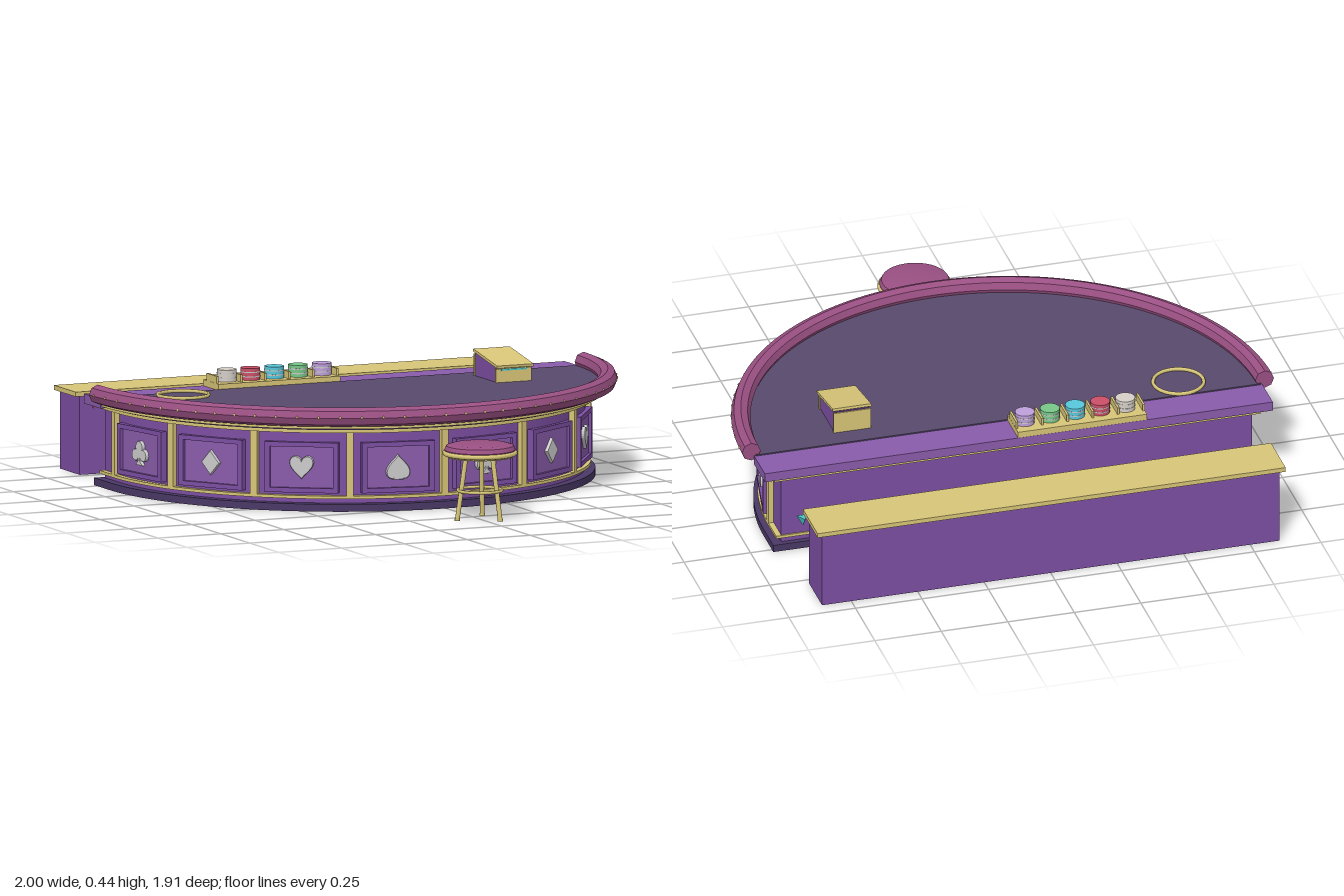
import * as THREE from 'three';
import { toCreasedNormals } from 'three/addons/utils/BufferGeometryUtils.js';

const CZ = -0.39; // centre of the table's arc
const mat = (color) => new THREE.MeshStandardMaterial({ color });
const purple = mat(0x7d4fa3), violet = mat(0x8a5cab), dark = mat(0x4a3866), felt = mat(0x584a6c),
  gold = mat(0xd8c678), plum = mat(0x9a5083), silver = mat(0xd2d2d2), teal = mat(0x4cc4c8), pink = mat(0xc8507c);

export function createModel() {
  const root = new THREE.Group();
  const add = (name, geo, material, x = 0, y = 0, z = 0, parent = root) => {
    const m = new THREE.Mesh(geo, material);
    m.name = name;
    m.position.set(x, y, z);
    parent.add(m);
    return m;
  };
  const box = (w, h, d) => new THREE.BoxGeometry(w, h, d);
  const group = (name, parent = root) => {
    const g = new THREE.Group();
    g.name = name;
    parent.add(g);
    return g;
  };

  // Half-round slab with a straight back edge
  const slab = (name, r, back, y0, y1, material) => {
    const s = new THREE.Shape();
    s.moveTo(-r, -back);
    s.lineTo(-r, -CZ);
    s.absarc(0, -CZ, r, Math.PI, Math.PI * 2, false);
    s.lineTo(r, -back);
    s.closePath();
    const g = new THREE.ExtrudeGeometry(s, { depth: y1 - y0, bevelEnabled: false, curveSegments: 64 });
    g.rotateX(-Math.PI / 2);
    return add(name, toCreasedNormals(g, 0.5), material, 0, y0, 0);
  };
  slab('plinth', 0.92, -0.52, 0.001, 0.028, dark);
  slab('body', 0.885, -0.5, 0.028, 0.29, purple);
  slab('lowerTrim', 0.905, -0.505, 0.045, 0.056, gold);
  slab('upperTrim', 0.915, -0.517, 0.287, 0.3, gold);
  slab('tableUnderside', 0.925, -0.45, 0.3, 0.308, dark);
  slab('rimTrim', 0.95, -0.395, 0.307, 0.319, gold);
  slab('tableEdge', 0.955, -0.395, 0.319, 0.332, dark);
  slab('feltTop', 0.95, -0.395, 0.332, 0.34, felt);
  add('floorDisc', new THREE.CylinderGeometry(0.05, 0.05, 0.01, 20), teal, 0, 0.005, CZ);

  // Padded arm rail with studs
  const rail = new THREE.TorusGeometry(0.965, 0.035, 8, 72, Math.PI).rotateX(Math.PI / 2);
  add('armRail', toCreasedNormals(rail, 0.5), plum, 0, 0.353, CZ);
  for (const s of [-1, 1]) {
    add('railEnd', new THREE.CircleGeometry(0.035, 8).rotateY(Math.PI), plum, s * 0.965, 0.353, CZ);
  }
  const studs = group('railStuds');
  for (let i = 0; i < 40; i++) {
    const a = ((i + 0.5) / 40) * Math.PI;
    add('stud', new THREE.SphereGeometry(0.005, 6, 4), gold, Math.cos(a) * 0.998, 0.355, CZ + Math.sin(a) * 0.998, studs);
  }

  // Card suit outlines, about 0.08 tall around the origin
  const disc = (x, y, r) => new THREE.Shape().absarc(x, y, r, 0, Math.PI * 2, false);
  const stem = () => new THREE.Shape([[-0.02, -0.045], [0.02, -0.045], [0.005, -0.03], [0.004, 0], [-0.004, 0], [-0.005, -0.03]]
    .map(([x, y]) => new THREE.Vector2(x, y)));
  const heart = (f) => {
    const s = new THREE.Shape();
    s.moveTo(0, -0.04 * f);
    s.bezierCurveTo(0.015, -0.02 * f, 0.042, -0.005 * f, 0.042, 0.018 * f);
    s.bezierCurveTo(0.042, 0.046 * f, 0.006, 0.046 * f, 0, 0.02 * f);
    s.bezierCurveTo(-0.006, 0.046 * f, -0.042, 0.046 * f, -0.042, 0.018 * f);
    s.bezierCurveTo(-0.042, -0.005 * f, -0.015, -0.02 * f, 0, -0.04 * f);
    return s;
  };
  const suits = [
    ['spade', [heart(-1.05), stem()]],
    ['heart', [heart(1)]],
    ['diamond', [new THREE.Shape([[0, -0.043], [0.036, 0], [0, 0.043], [-0.036, 0]].map(([x, y]) => new THREE.Vector2(x, y)))]],
    ['club', [disc(0, 0.021, 0.02), disc(-0.023, -0.009, 0.02), disc(0.023, -0.009, 0.02), disc(0, 0.002, 0.012), stem()]],
  ];

  // Eight framed panels around the front, with gold posts between
  const frame = new THREE.Shape([[-0.135, -0.092], [0.135, -0.092], [0.135, 0.092], [-0.135, 0.092]].map(([x, y]) => new THREE.Vector2(x, y)));
  frame.holes.push(new THREE.Path([[-0.115, -0.075], [-0.115, 0.075], [0.115, 0.075], [0.115, -0.075]].map(([x, y]) => new THREE.Vector2(x, y))));
  const frameGeo = new THREE.ExtrudeGeometry(frame, { depth: 0.03, bevelEnabled: false });
  for (let i = 0; i < 8; i++) {
    const panel = group('frontPanel');
    panel.position.set(0, 0.158, CZ);
    panel.rotation.y = ((78.75 - 22.5 * i) * Math.PI) / 180;
    add('panelFrame', frameGeo, purple, 0, 0, 0.87, panel);
    add('panelField', box(0.24, 0.16, 0.02), violet, 0, 0, 0.878, panel);
    const [name, shapes] = suits[i % 4];
    add(name, new THREE.ExtrudeGeometry(shapes, {
      depth: 0.01, bevelThickness: 0.004, bevelSize: 0.002, bevelSegments: 1, curveSegments: 8,
    }), silver, 0, 0, 0.886, panel);
  }
  for (let i = 0; i <= 8; i++) {
    const a = ((i - 4) * Math.PI) / 8;
    const post = add('post', box(0.026, 0.24, 0.03), gold, Math.sin(a) * 0.89, 0.17, CZ + Math.cos(a) * 0.89);
    post.rotation.y = a;
  }

  // Dealer ledge and chip tray
  add('dealerLedge', box(1.91, 0.035, 0.14), violet, 0, 0.318, -0.46);
  const tray = group('chipTray');
  add('trayBase', box(0.485, 0.025, 0.135), gold, -0.24, 0.346, -0.462, tray);
  for (let i = 0; i <= 5; i++) add('divider', box(0.008, 0.028, 0.087), gold, -0.478 + i * 0.0952, 0.371, -0.458, tray);
  [0xd8d0c8, 0xcc5068, 0x58c8dc, 0x78c888, 0xc0a0dc].forEach((c, i) => {
    const x = -0.42 + i * 0.0945;
    add('chipStack', new THREE.CylinderGeometry(0.036, 0.036, 0.046, 14), mat(c), x, 0.379, -0.462, tray);
    for (const y of [0.372, 0.388]) {
      add('chipBand', new THREE.CylinderGeometry(0.037, 0.037, 0.004, 14), silver, x, y, -0.462, tray);
    }
  });

  // Ring marker and card shoe on the felt
  add('feltRing', new THREE.TorusGeometry(0.092, 0.007, 6, 36).rotateX(Math.PI / 2), gold, -0.665, 0.345, -0.305);
  const shoe = group('cardShoe');
  const side = new THREE.Shape([[0.13, 0.34], [0.315, 0.34], [0.315, 0.425], [0.13, 0.394]].map(([x, y]) => new THREE.Vector2(x, y)));
  const shoeGeo = new THREE.ExtrudeGeometry(side, { depth: 0.13, bevelEnabled: false }).rotateY(Math.PI / 2);
  add('shoeBody', shoeGeo, purple, 0.5, 0, 0, shoe);
  const lid = add('shoeLid', box(0.145, 0.01, 0.21), gold, 0.565, 0.416, -0.212, shoe);
  lid.rotation.x = 0.168;
  add('shoeFront', box(0.14, 0.05, 0.012), gold, 0.565, 0.365, -0.128, shoe);
  add('shoeBack', box(0.14, 0.08, 0.008), gold, 0.565, 0.381, -0.315, shoe);
  add('shoeSlot', box(0.1, 0.006, 0.016), teal, 0.565, 0.386, -0.126, shoe);

  // Back counter with a row of small pennants
  add('counterBody', box(1.72, 0.29, 0.17), purple, 0, 0.145, -0.86);
  add('counterTop', box(1.76, 0.017, 0.19), gold, 0, 0.296, -0.861);
  const pennants = group('pennants');
  for (let i = 0; i < 18; i++) {
    const cone = new THREE.ConeGeometry(0.025, 0.036, 3).rotateX(Math.PI).toNonIndexed();
    cone.computeVertexNormals();
    add('pennant', cone, i % 2 ? teal : pink, -0.81 + i * 0.0994, 0.257, -0.768, pennants);
  }

  // Stool: cushion, ring, foot rest and three splayed legs
  const stool = group('stool');
  stool.position.z = 0.815;
  const cushion = [[0, 0.235], [0.125, 0.235], [0.129, 0.255], [0.122, 0.27], [0.1, 0.276], [0, 0.278]].map(([x, y]) => new THREE.Vector2(x, y));
  add('cushion', toCreasedNormals(new THREE.LatheGeometry(cushion, 32), 0.6), plum, 0, 0, 0, stool);
  add('seatRing', new THREE.TorusGeometry(0.128, 0.009, 8, 32).rotateX(Math.PI / 2), gold, 0, 0.243, 0, stool);
  add('seatPlate', new THREE.CylinderGeometry(0.12, 0.12, 0.01, 32), gold, 0, 0.234, 0, stool);
  add('footRing', new THREE.TorusGeometry(0.08, 0.006, 6, 28).rotateX(Math.PI / 2), gold, 0, 0.107, 0, stool);
  for (let i = 0; i < 3; i++) {
    const a = Math.PI + (i * Math.PI * 2) / 3;
    const at = (r, y) => new THREE.Vector3(Math.cos(a) * r, y, Math.sin(a) * r);
    add('stoolLeg', new THREE.TubeGeometry(new THREE.LineCurve3(at(0.09, 0.003), at(0.055, 0.235)), 1, 0.009, 8), gold, 0, 0, 0, stool);
    add('legFoot', new THREE.CylinderGeometry(0.01, 0.01, 0.008, 8), gold, Math.cos(a) * 0.09, 0.004, Math.sin(a) * 0.09, stool);
  }
  return root;
}
